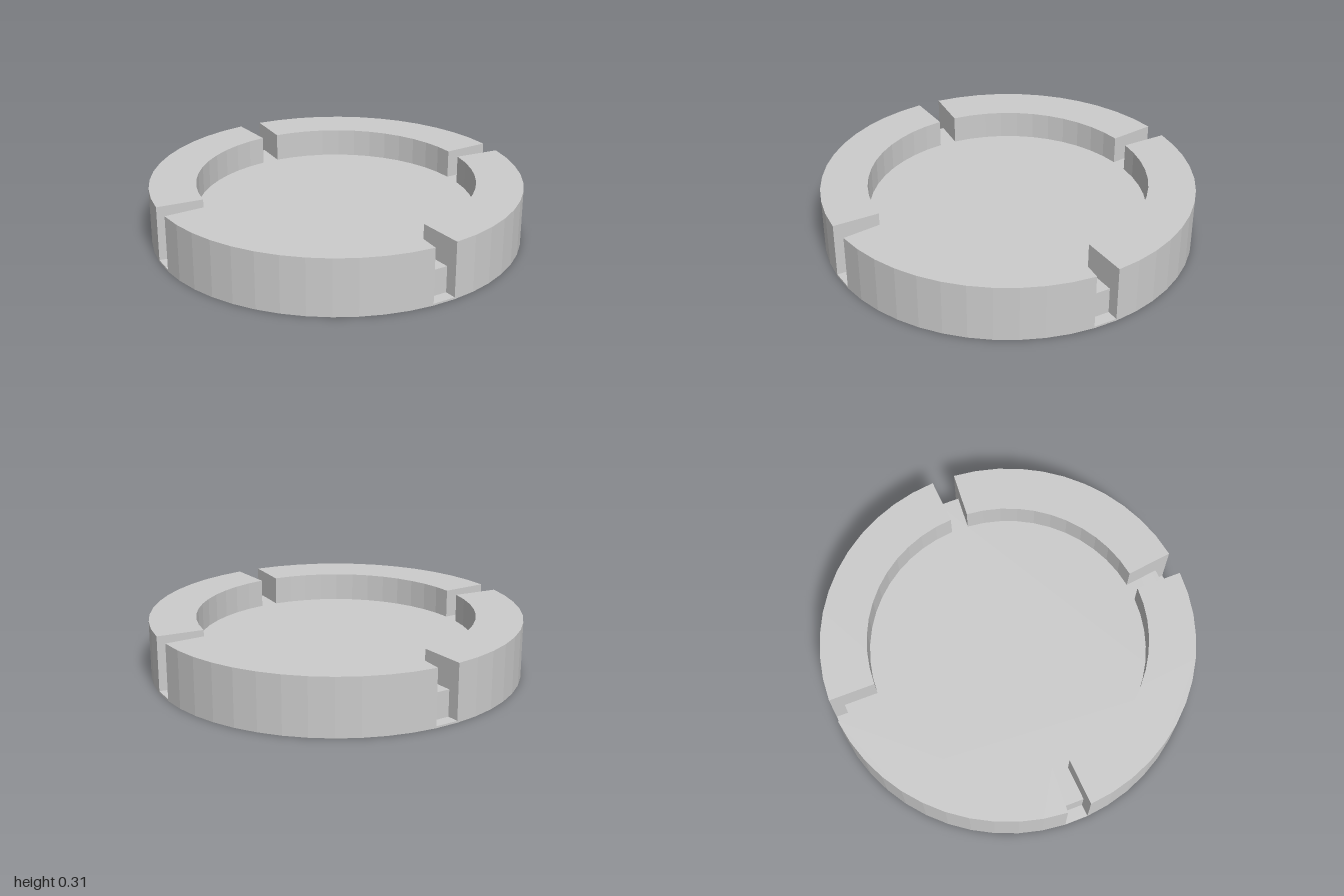
import * as THREE from 'three';

const SIDES = 50;                 // facets around the dish
const SLOTS = [1, 14, 26, 39];    // facets left open as slots
const OUTER = 1, INNER = 0.75, LEDGE = 0.935;
const BASE_TOP = 0.01, FLOOR_TOP = 0.152, RIM_TOP = 0.307;

const material = new THREE.MeshStandardMaterial({ color: 0xcccccc, flatShading: true });

// Points on a circle from facet corner a to corner b
function arc(radius, a, b) {
  const points = [];
  for (let i = a; i <= b; i++) {
    const t = (i / SIDES) * Math.PI * 2;
    points.push(new THREE.Vector2(radius * Math.cos(t), radius * Math.sin(t)));
  }
  return points;
}

// Upright prism of an outline between two heights
function prism(name, outline, bottom, top) {
  const geometry = new THREE.ExtrudeGeometry(new THREE.Shape(outline), {
    depth: top - bottom, bevelEnabled: false, steps: 1,
  });
  geometry.rotateX(-Math.PI / 2).translate(0, bottom, 0);
  const mesh = new THREE.Mesh(geometry, material);
  mesh.name = name;
  return mesh;
}

export function createModel() {
  const model = new THREE.Group();
  model.name = 'slottedDish';

  // Thin bottom plate and the raised floor that shows inside the slots
  model.add(prism('basePlate', arc(OUTER, 0, SIDES - 1), 0, BASE_TOP));
  model.add(prism('floor', arc(LEDGE, 0, SIDES - 1), BASE_TOP, FLOOR_TOP));

  // Four curved rim segments between the slots
  const rim = new THREE.Group();
  rim.name = 'rim';
  SLOTS.forEach((slot, i) => {
    const start = slot + 1;
    const end = i < SLOTS.length - 1 ? SLOTS[i + 1] : SLOTS[0] + SIDES;
    const outline = [...arc(OUTER, start, end), ...arc(INNER, start, end).reverse()];
    rim.add(prism('rimSegment' + (i + 1), outline, BASE_TOP, RIM_TOP));
  });
  model.add(rim);

  return model;
}
